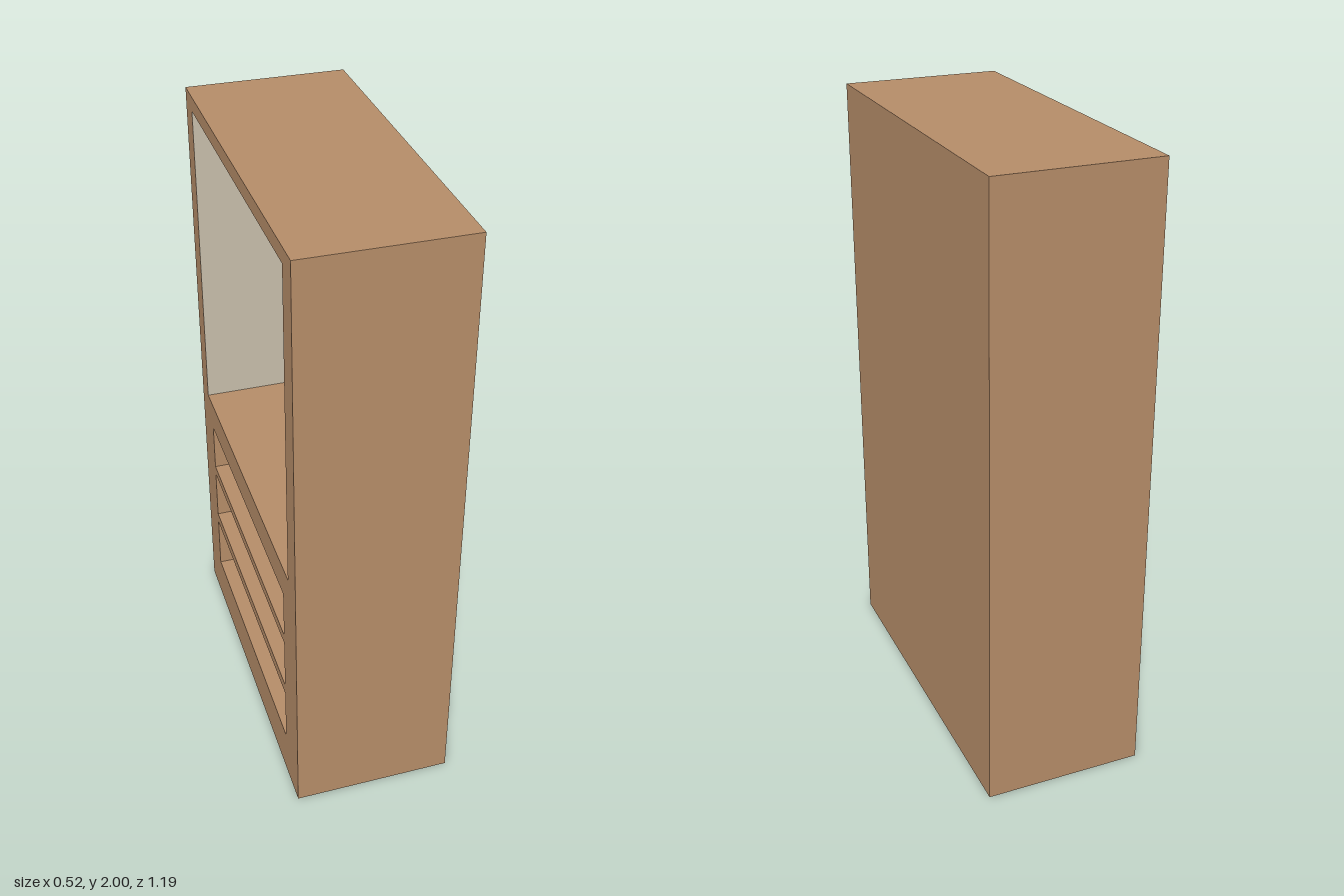
import * as THREE from 'three';

const W = 0.518, H = 2, D = 1.19;   // sizes along x, y, z
const OPEN_X = -W / 2;              // the open face looks towards -x
const DEPTH = 0.462;                // depth of the compartments

const wood = new THREE.MeshStandardMaterial({ color: 0xb68d69 });
wood.name = 'wood';
const lining = new THREE.MeshStandardMaterial({ color: 0xc8bfac });
lining.name = 'greyLining';

// Box without its -x side; inward = true turns the faces to the inside.
// Groups: 0 +x, 1 +y, 2 -y, 3 +z, 4 -z
function openBox(w, h, d, inward) {
  const g = new THREE.BoxGeometry(w, h, d);
  const index = Array.from(g.index.array);
  index.splice(6, 6);
  if (inward) {
    index.reverse();
    g.groups.length = 0;
    const n = g.attributes.normal;
    for (let i = 0; i < n.count; i++) n.setXYZ(i, -n.getX(i), -n.getY(i), -n.getZ(i));
  }
  g.setIndex(index);
  g.clearGroups();
  // reversing the index also reverses the order of the sides
  for (let i = 0; i < 5; i++) g.addGroup(i * 6, 6, inward ? 4 - i : i);
  return g;
}

// Compartments: half width along z, bottom and top
const compartments = [
  { name: 'wardrobeCompartment', half: 0.515, y0: 0.892, y1: 1.951, lined: true },
  { name: 'upperShelfCompartment', half: 0.458, y0: 0.616, y1: 0.788 },
  { name: 'middleShelfCompartment', half: 0.458, y0: 0.396, y1: 0.582 },
  { name: 'lowerShelfCompartment', half: 0.458, y0: 0.16, y1: 0.358 },
];

function rectangle(Type, half, y0, y1) {
  const p = new Type();
  p.moveTo(-half, y0);
  p.lineTo(half, y0);
  p.lineTo(half, y1);
  p.lineTo(-half, y1);
  p.closePath();
  return p;
}

export function createModel() {
  const model = new THREE.Group();
  model.name = 'cabinet';

  // Outer shell
  const shell = new THREE.Mesh(openBox(W, H, D, false), Array(5).fill(wood));
  shell.name = 'outerShell';
  shell.position.y = H / 2;
  model.add(shell);

  // Face frame with the openings cut out
  const face = rectangle(THREE.Shape, D / 2, 0, H);
  for (const c of compartments) face.holes.push(rectangle(THREE.Path, c.half, c.y0, c.y1));
  const frame = new THREE.Mesh(new THREE.ShapeGeometry(face), wood);
  frame.name = 'faceFrame';
  frame.rotation.y = -Math.PI / 2;
  frame.position.x = OPEN_X;
  model.add(frame);

  // Recessed compartments; the large one has grey walls
  for (const c of compartments) {
    const wall = c.lined ? lining : wood;
    const niche = new THREE.Mesh(
      openBox(DEPTH, c.y1 - c.y0, c.half * 2, true),
      [wall, wood, wood, wall, wall]
    );
    niche.name = c.name;
    niche.position.set(OPEN_X + DEPTH / 2, (c.y0 + c.y1) / 2, 0);
    model.add(niche);
  }
  return model;
}
